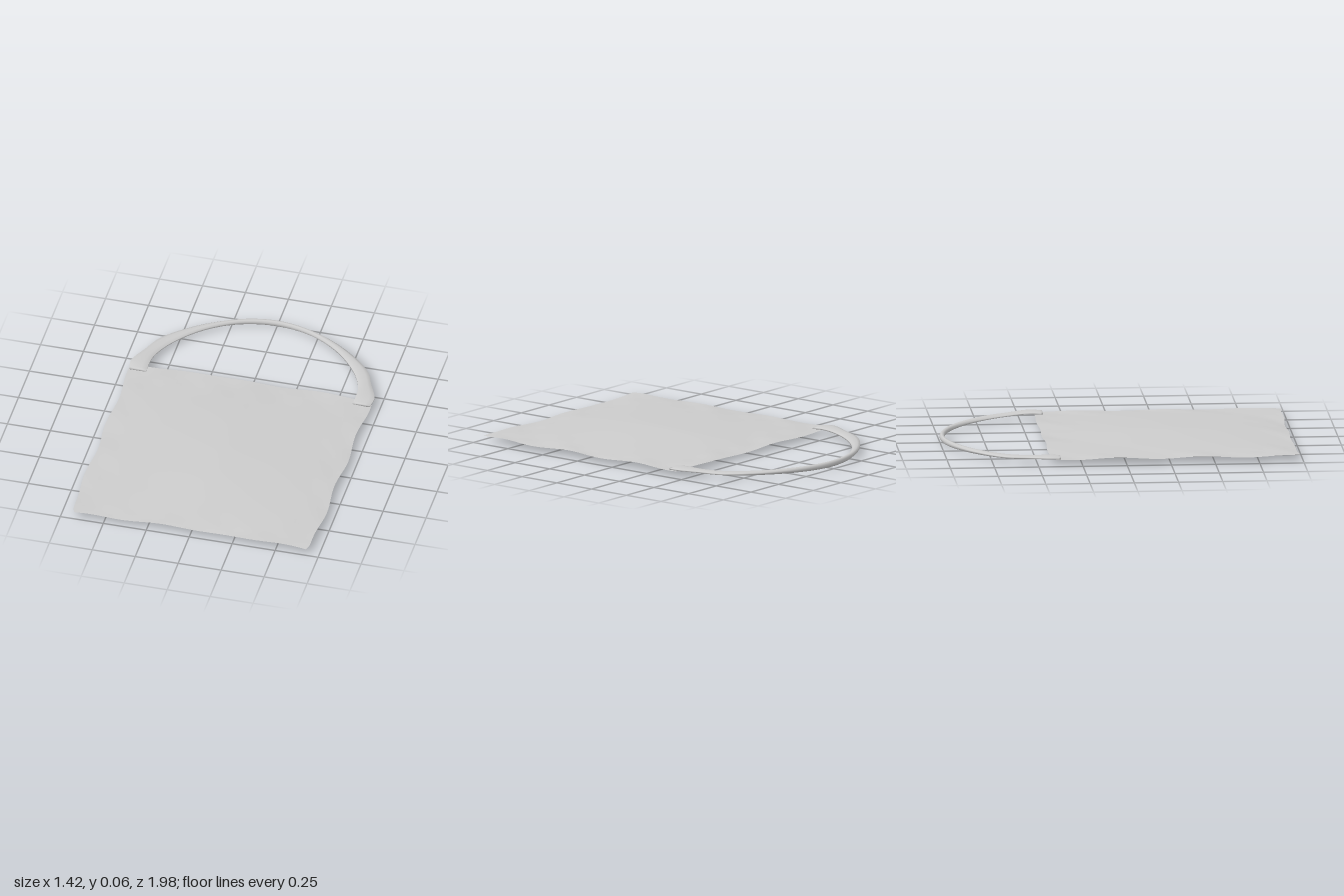
import * as THREE from 'three';

const MID = 0.031; // height of the seam plane
const cloth = new THREE.MeshStandardMaterial({ color: 0xcccccc, side: THREE.DoubleSide });

// One cloth panel, puffed towards +y (side 1) or -y (side -1)
function panel(side) {
  const geo = new THREE.PlaneGeometry(2, 2, 48, 48);
  geo.rotateX(-side * Math.PI / 2);
  const p = geo.attributes.position;
  for (let i = 0; i < p.count; i++) {
    const u = p.getX(i), w = p.getZ(i);
    const au = Math.abs(u), aw = Math.abs(w);
    let x = 0.697 * u, z = 0.275 + 0.695 * w;
    // wavy seams, slightly pulled-out bottom corners
    x += u * au ** 6 * 0.009 * Math.cos((z - 0.15) * 13);
    z += w * aw ** 6 * (0.004 * Math.cos(u * 11) + (w > 0 ? 0.014 * au ** 3 : 0));
    // rounded bottom corners
    if (w > 0) x -= u * 0.02 * w ** 30;
    // pillow thickness, with a small gap at the mouth and puckers near the seams
    const puff = 0.031 * (1 - au ** 1.35) * (1 - aw ** 1.8);
    const mouth = 0.006 * (1 - au ** 4) * Math.max(0, -w) ** 8;
    const edge = Math.max(au, aw) ** 8 * (1 - Math.max(au, aw) ** 12);
    const pucker = 0.007 * edge * Math.sin(u * 17 + 1) * Math.sin(w * 15 + 2);
    const sway = 0.004 * Math.max(au, aw) ** 6 * Math.sin(u * 7 + w * 9);
    p.setXYZ(i, x, MID + sway + side * Math.max(0, puff + mouth + pucker), z);
  }
  geo.computeVertexNormals();
  return new THREE.Mesh(geo, cloth);
}

// Arched strap lofted between an outer and an inner outline
function strap() {
  const arch = half => new THREE.CatmullRomCurve3([
    ...half.map(([x, z]) => new THREE.Vector3(-x, 0, z)),
    ...half.slice(0, -1).reverse().map(([x, z]) => new THREE.Vector3(x, 0, z)),
  ]);
  const outer = arch([[0.70, -0.37], [0.708, -0.44], [0.66, -0.56], [0.60, -0.69], [0.41, -0.86], [0.2, -0.965], [0, -1]]);
  const inner = arch([[0.60, -0.37], [0.602, -0.44], [0.59, -0.53], [0.53, -0.66], [0.39, -0.82], [0.2, -0.935], [0, -0.973]]);
  const N = 56, K = 8, pos = [], idx = [];
  for (let i = 0; i <= N; i++) {
    const t = i / N, a = outer.getPoint(t), b = inner.getPoint(t);
    const rise = Math.sin(Math.PI * t);
    const half = 0.009 + 0.008 * rise ** 6;
    const y = 0.034 + 0.004 * Math.sin(Math.PI * 2 * rise) - 0.006 * rise ** 6;
    for (let k = 0; k < K; k++) {
      const ang = (k + 0.5) / K * Math.PI * 2;
      const s = THREE.MathUtils.clamp(0.5 + 0.56 * Math.cos(ang), 0, 1);
      pos.push(b.x + (a.x - b.x) * s, y + half * Math.sin(ang), b.z + (a.z - b.z) * s);
      if (i < N) {
        const q = i * K + k, r = i * K + (k + 1) % K;
        idx.push(q, r, q + K, r, r + K, q + K);
      }
    }
  }
  // end caps
  for (let k = 1; k < K - 1; k++) idx.push(0, k + 1, k, N * K, N * K + k, N * K + k + 1);
  const geo = new THREE.BufferGeometry();
  geo.setAttribute('position', new THREE.Float32BufferAttribute(pos, 3));
  geo.setIndex(idx);
  geo.computeVertexNormals();
  return new THREE.Mesh(geo, cloth);
}

export function createModel() {
  const bag = new THREE.Group();
  bag.name = 'toteBag';
  const add = (mesh, name) => { mesh.name = name; bag.add(mesh); };
  add(panel(1), 'upperPanel');
  add(panel(-1), 'lowerPanel');
  add(strap(), 'shoulderStrap');
  return bag;
}
